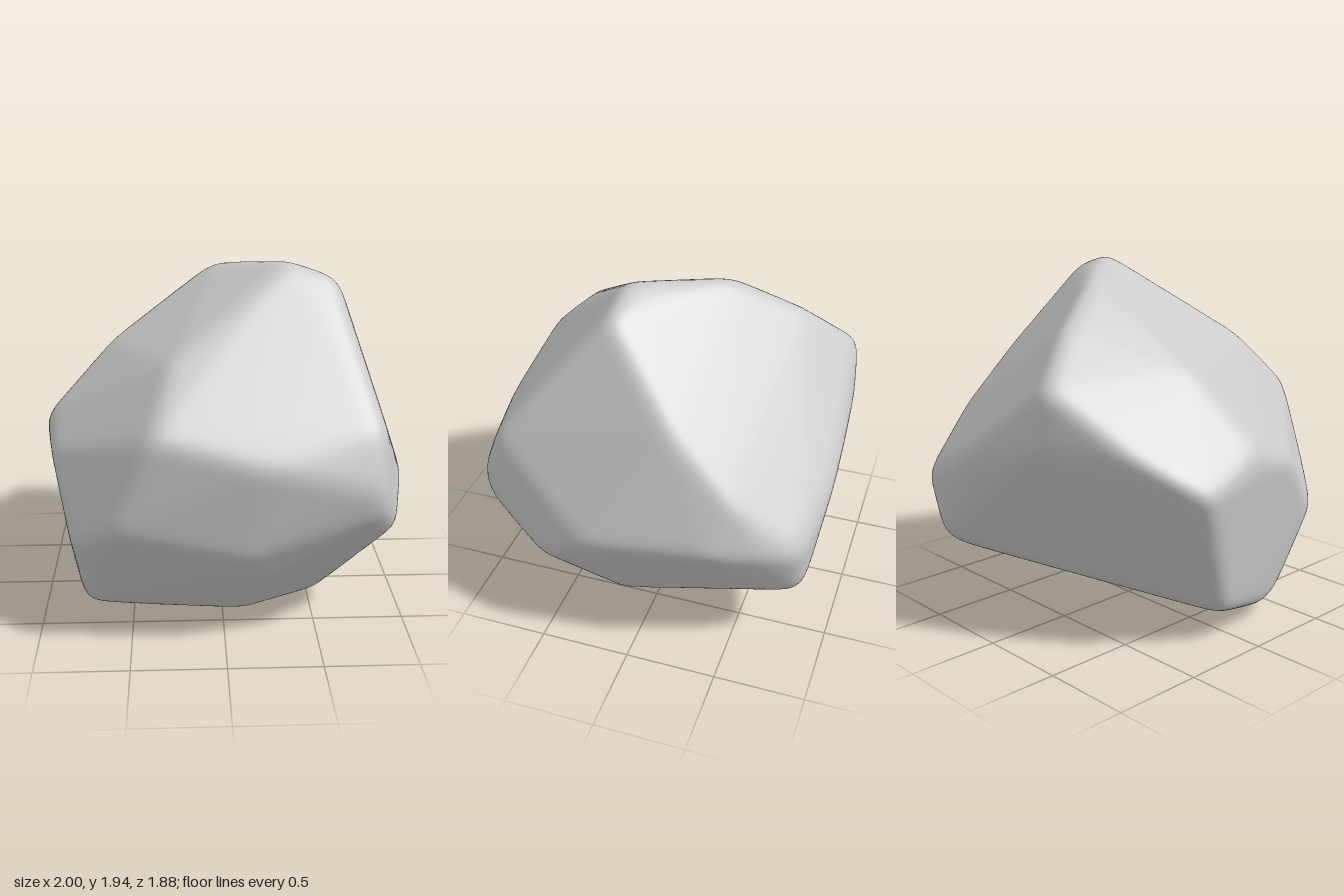
import * as THREE from 'three';
import { ConvexGeometry } from 'three/addons/geometries/ConvexGeometry.js';
import { mergeVertices } from 'three/addons/utils/BufferGeometryUtils.js';

// Corners of the chiselled boulder, as x, y, z
const CORNERS = [
  // crown and the ridge running to the back
  [0.35, 1.95, 0.17], [0.6, 1.87, 0.18], [0, 1.87, -0.27], [-0.18, 1.66, -0.61], [-0.36, 1.42, -0.89],
  // sloping front face and the band below it
  [-0.27, 1.51, 0.6], [-0.37, 1.21, 0.91], [0.8, 1.2, 0.75], [0.79, 0.9, 0.87], [0.2, 1.06, 0.94],
  [-0.59, 0.7, 0.86], [0.1, 0.56, 0.87], [0.78, 0.77, 0.84], [0.22, 0.4, 0.75],
  // upper left side
  [-0.6, 1.44, -0.13], [-0.95, 1.07, 0], [-0.92, 0.95, 0.3], [-0.8, 0.57, 0.67],
  [-1, 0.9, -0.42], [-0.99, 0.95, -0.18], [-0.78, 1.07, -0.63],
  // underside
  [-0.77, 0.07, 0.3], [-0.75, 0.1, 0.43], [-0.86, 0.18, -0.12], [0.1, -0.005, 0.36],
  [0.54, 0.04, 0.2], [0.3, 0.055, 0.02], [0.62, 0.4, -0.86],
  // right side
  [0.93, 0.56, 0.5], [1, 0.75, 0.2], [0.94, 0.79, -0.42], [0.83, 0.77, -0.72],
  [0.7, 1.62, 0], [0.8, 1.4, -0.2], [0.84, 1.09, -0.5],
  // back
  [0.73, 0.76, -0.87], [0.3, 0.95, -0.94], [-0.28, 1.1, -0.91],
].map((p) => new THREE.Vector3(...p));

const CENTRE = new THREE.Vector3(0, 0.95, 0);
const WEAR_ALLOWANCE = 1.015; // stock left on for the rounding to take off

// One outward plane for each facet of the hull
function facetPlanes() {
  const points = CORNERS.map((p) => p.clone().sub(CENTRE).multiplyScalar(WEAR_ALLOWANCE));
  const pos = new ConvexGeometry(points).attributes.position;
  const planes = [];
  for (let i = 0; i < pos.count; i += 3) {
    const [a, b, c] = [0, 1, 2].map((k) => new THREE.Vector3().fromBufferAttribute(pos, i + k));
    planes.push(new THREE.Plane().setFromCoplanarPoints(a, b, c));
  }
  return planes;
}

// Average each vertex with its neighbours to wear the edges round
function wear(geometry, passes) {
  const pos = geometry.attributes.position, index = geometry.index.array;
  for (let pass = 0; pass < passes; pass++) {
    const sum = new Float32Array(pos.count * 3), n = new Uint16Array(pos.count);
    for (let i = 0; i < index.length; i++) {
      const v = index[i], w = index[i % 3 === 2 ? i - 2 : i + 1];
      sum[v * 3] += pos.getX(w);
      sum[v * 3 + 1] += pos.getY(w);
      sum[v * 3 + 2] += pos.getZ(w);
      n[v]++;
    }
    for (let v = 0; v < pos.count; v++) {
      pos.setXYZ(v, sum[v * 3] / n[v], sum[v * 3 + 1] / n[v], sum[v * 3 + 2] / n[v]);
    }
  }
}

function boulderGeometry() {
  let geometry = new THREE.IcosahedronGeometry(1, 44);
  geometry.deleteAttribute('uv');
  geometry.deleteAttribute('normal');
  geometry = mergeVertices(geometry, 1e-4);

  // Push a sphere out to the facets
  const planes = facetPlanes(), pos = geometry.attributes.position, d = new THREE.Vector3();
  for (let i = 0; i < pos.count; i++) {
    d.fromBufferAttribute(pos, i).normalize();
    let r = Infinity;
    for (const { normal, constant } of planes) {
      const k = normal.dot(d);
      if (k > 1e-4) r = Math.min(r, -constant / k);
    }
    pos.setXYZ(i, d.x * r, d.y * r, d.z * r);
  }
  wear(geometry, 5);

  // Centre it and stand it on the ground
  geometry.center();
  geometry.translate(0, -geometry.boundingBox.min.y, 0);
  geometry.computeVertexNormals();
  return geometry;
}

export function createModel() {
  const model = new THREE.Group();
  model.name = 'rock';
  const boulder = new THREE.Mesh(boulderGeometry(), new THREE.MeshStandardMaterial({ color: 0xcccccc }));
  boulder.name = 'boulder';
  model.add(boulder);
  return model;
}
